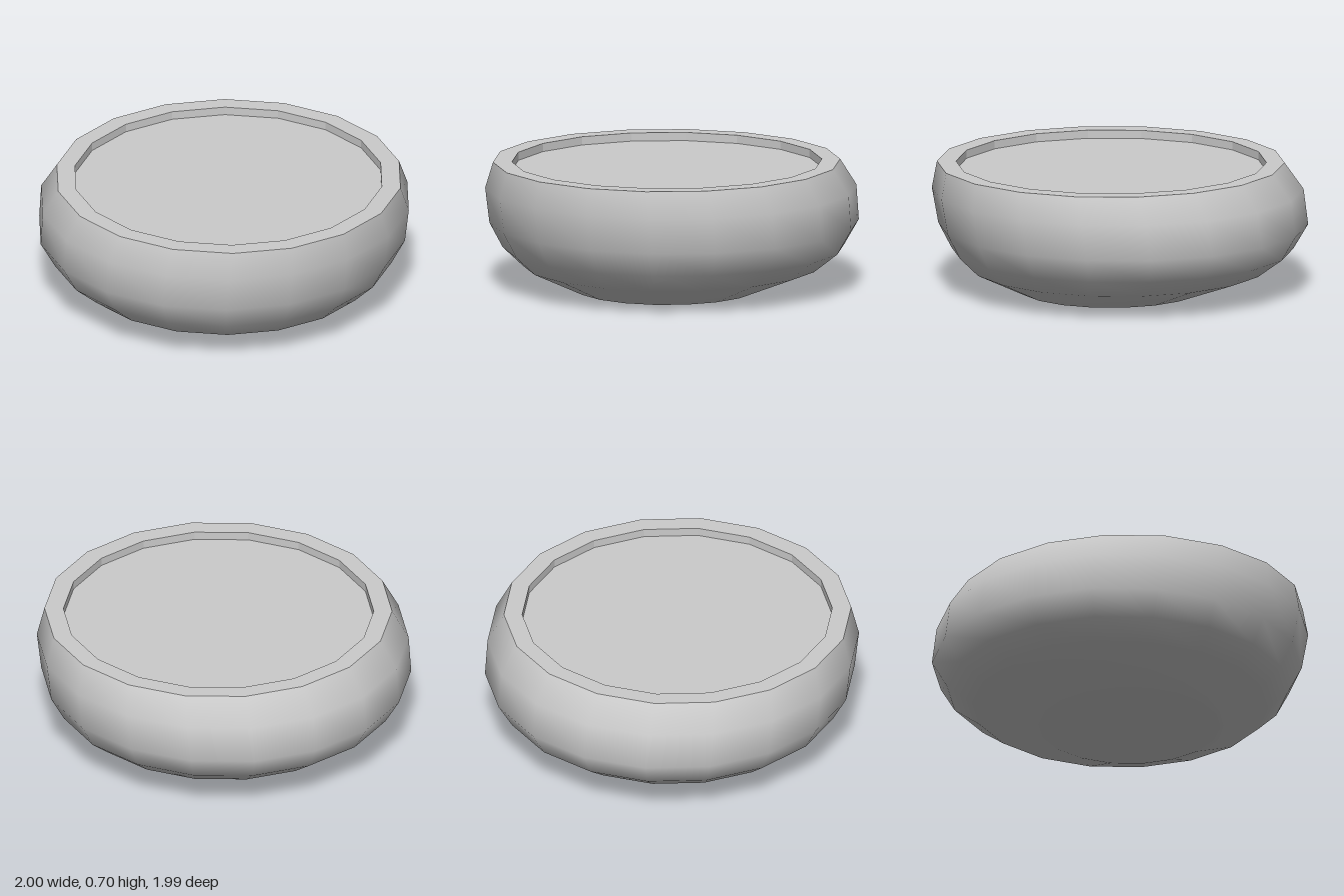
import * as THREE from 'three';
import { mergeVertices } from 'three/addons/utils/BufferGeometryUtils.js';

const SIDES = 18;

// Turned surface from rows of [radius, height, z offset of the ring's centre]
function turned(name, rows, flat) {
  const points = rows.map(([r, y]) => new THREE.Vector2(r, y));
  // start a quarter turn round, so that corners lie on the x axis
  let geometry = new THREE.LatheGeometry(points, SIDES, Math.PI / 2);
  const pos = geometry.attributes.position;
  for (let i = 0; i < pos.count; i++) {
    pos.setZ(i, pos.getZ(i) + rows[i % rows.length][2]);
  }
  // weld the seam for continuous normals
  geometry.deleteAttribute('uv');
  geometry.deleteAttribute('normal');
  geometry = mergeVertices(geometry, 1e-4);
  geometry.computeVertexNormals();
  const mesh = new THREE.Mesh(
    geometry,
    new THREE.MeshStandardMaterial({ color: 0xcccccc, flatShading: flat })
  );
  mesh.name = name;
  return mesh;
}

export function createModel() {
  const group = new THREE.Group();
  group.name = 'bowl';

  const foot = [0.49, 0, 0.055];
  const lip = [0.935, 0.7, 0.053];
  const innerLip = [0.835, 0.7, 0.05];
  const innerFloor = [0.835, 0.655, 0.05];

  // rounded body, its rings leaning slightly back and forth
  group.add(turned('body', [
    foot,
    [0.8, 0.125, 0.008],
    [0.92, 0.225, -0.01],
    [0.995, 0.36, -0.015],
    [1.0, 0.555, 0.015],
    lip,
  ], false));

  // flat underside
  group.add(turned('base', [[0, 0, 0.055], foot], true));

  // rim, shallow inner wall and the filled surface
  group.add(turned('rim', [lip, innerLip], true));
  group.add(turned('innerWall', [innerLip, innerFloor], true));
  group.add(turned('filling', [innerFloor, [0, 0.655, 0.05]], true));

  return group;
}
